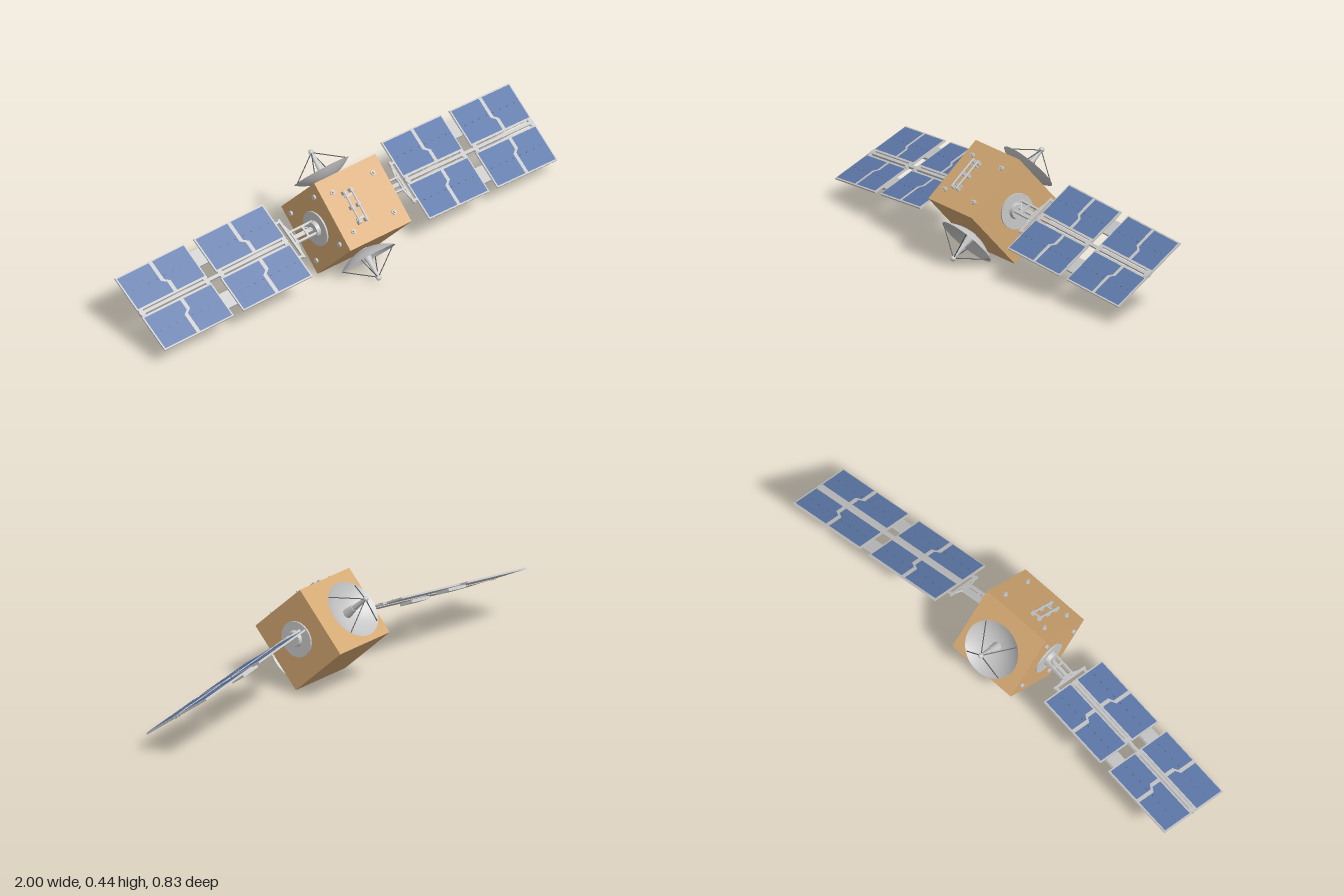
import * as THREE from 'three';

const mat = (name, color, double) => {
  const m = new THREE.MeshStandardMaterial({ color });
  m.name = name;
  if (double) m.side = THREE.DoubleSide;
  return m;
};

export function createModel() {
  const foil = mat('tan foil', 0xd4a873);
  const metal = mat('light grey metal', 0xc8c8c8);
  const dishMetal = mat('grey dish', 0xc4c4c4, true);
  const cells = mat('blue solar cells', 0x5f7aab);
  const dark = mat('dark grey', 0x55585e);

  const add = (parent, name, geo, material, x = 0, y = 0, z = 0) => {
    const mesh = new THREE.Mesh(geo, material);
    mesh.name = name;
    mesh.position.set(x, y, z);
    parent.add(mesh);
    return mesh;
  };
  const box = (parent, name, material, w, h, d, x, y, z) =>
    add(parent, name, new THREE.BoxGeometry(w, h, d), material, x, y, z);
  // thin rod between two points
  const rod = (parent, name, a, b, r, material = metal, r2 = r) => {
    const p = new THREE.Vector3(...a), q = new THREE.Vector3(...b);
    const dir = q.clone().sub(p);
    const mesh = add(parent, name, new THREE.CylinderGeometry(r2, r, dir.length(), 10), material);
    mesh.position.copy(p).add(q).multiplyScalar(0.5);
    mesh.quaternion.setFromUnitVectors(new THREE.Vector3(0, 1, 0), dir.normalize());
    return mesh;
  };

  const model = new THREE.Group();
  model.name = 'satellite';

  // Body, yawed and pitched
  const body = new THREE.Group();
  body.name = 'body';
  body.position.set(0.012, 0.228, 0.05);
  body.rotation.set(THREE.MathUtils.degToRad(42.3), THREE.MathUtils.degToRad(15.5), 0, 'YXZ');
  model.add(body);
  box(body, 'bodyBox', foil, 0.31, 0.3, 0.3, 0, 0, 0);

  // Round array mounts on both sides
  for (const s of [-1, 1]) {
    const ring = add(body, 'arrayMount', new THREE.CylinderGeometry(0.073, 0.073, 0.01, 40), metal, s * 0.157, 0.005, 0);
    ring.rotation.z = Math.PI / 2;
    const hub = add(body, 'arrayHub', new THREE.CylinderGeometry(0.03, 0.035, 0.02, 24), metal, s * 0.168, 0.01, 0);
    hub.rotation.z = -s * Math.PI / 2;
  }

  // Bolts on the upper face and one side face
  for (const a of [-1, 1]) for (const b of [-1, 1]) {
    add(body, 'topBolt', new THREE.CylinderGeometry(0.01, 0.01, 0.006, 14), metal, a * 0.103, 0.152, b * 0.087);
    add(body, 'topBoltPin', new THREE.CylinderGeometry(0.005, 0.005, 0.012, 10), metal, a * 0.103, 0.158, b * 0.087);
    const side = add(body, 'sideBolt', new THREE.CylinderGeometry(0.01, 0.01, 0.01, 14), metal, -0.158, a * 0.105, b * 0.105);
    side.rotation.z = Math.PI / 2;
  }

  // Pair of handrails with feet
  for (const s of [-1, 1]) {
    const x = -0.045 + s * 0.017;
    rod(body, 'handrail', [x, 0.167, -0.07], [x, 0.167, 0.07], 0.005);
    for (const z of [-0.065, 0, 0.065]) box(body, 'handrailFoot', metal, 0.014, 0.02, 0.014, x, 0.158, z);
  }
  for (const z of [-0.05, 0.05]) box(body, 'handrailTie', metal, 0.04, 0.006, 0.008, -0.045, 0.153, z);

  // Dish antennas, facing along local z at the front and back
  const R = 0.12;
  for (const s of [1, -1]) {
    const dish = new THREE.Group();
    dish.name = s > 0 ? 'frontDish' : 'backDish';
    dish.position.set(0, -0.014, s * 0.152);
    dish.rotation.x = s * Math.PI / 2;
    body.add(dish);
    const profile = [];
    for (let i = 0; i <= 10; i++) profile.push(new THREE.Vector2(R * i / 10, 0.042 * (i / 10) ** 2));
    add(dish, 'reflector', new THREE.LatheGeometry(profile, 48), dishMetal);
    rod(dish, 'feedBase', [0, 0, 0], [0, 0.05, 0], 0.02, metal, 0.014);
    rod(dish, 'feedHorn', [0, 0.05, 0], [0, 0.125, 0], 0.012, metal, 0.007);
    add(dish, 'feedTip', new THREE.SphereGeometry(0.011, 16, 12), metal, 0, 0.127, 0);
    for (let i = 0; i < 4; i++) {
      const t = Math.PI / 4 + i * Math.PI / 2;
      rod(dish, 'feedStrut', [R * 0.97 * Math.cos(t), 0.04, R * 0.97 * Math.sin(t)], [0, 0.125, 0], 0.002, dark);
    }
  }

  // Solar wing, built outward along +x from its inner edge
  const buildWing = (name, jog) => {
    const wing = new THREE.Group();
    wing.name = name;
    const len = 0.33, half = 0.18, inner = 0.013;
    for (const x0 of [0, 0.375]) {
      const mid = x0 + len / 2;
      for (const s of [-1, 1]) {
        box(wing, 'panelBacking', metal, len, 0.007, half - inner, mid, 0, s * (half + inner) / 2);
        // two cell sheets meeting along a stepped seam
        for (const e of [-1, 1]) {
          const edge = mid + e * (len / 2 - 0.006), seam = mid + e * 0.008;
          const pts = [[edge, 0.022], [seam + jog, 0.022], [seam + jog, 0.07],
            [seam, 0.085], [seam, 0.174], [edge, 0.174]];
          const shape = new THREE.Shape(pts.map(([x, z]) => new THREE.Vector2(x, -s * z)));
          const geo = new THREE.ShapeGeometry(shape);
          geo.rotateX(-Math.PI / 2);
          add(wing, 'solarCells', geo, cells, 0, 0.0046, 0);
        }
        // dashed rows of fasteners above and below
        for (let i = 0; i < 8; i++) {
          const x = x0 + 0.03 + i * 0.038;
          box(wing, 'fastener', dark, 0.008, 0.001, 0.002, x, 0.005, s * 0.1);
          if (i % 2) box(wing, 'fastener', dark, 0.01, 0.001, 0.003, x, -0.004, s * 0.1);
        }
      }
      // hinge lugs at the section ends
      for (const x of [x0 + 0.012, x0 + len - 0.012]) box(wing, 'hingeLug', metal, 0.018, 0.012, 0.034, x, 0, 0);
    }
    // central spine and the joint boxes below the section gap
    box(wing, 'spine', metal, 0.705, 0.012, 0.013, 0.3525, 0, 0);
    for (const s of [-1, 1]) box(wing, 'jointBox', metal, 0.1, 0.012, 0.07, 0.3525, -0.01, s * 0.105);

    // ladder arm and yoke towards the body
    for (const s of [-1, 1]) {
      box(wing, 'armRail', metal, 0.125, 0.012, 0.008, -0.085, 0, s * 0.026);
      rod(wing, 'yokeStrut', [-0.03, 0, s * 0.026], [-0.015, 0, s * 0.09], 0.005);
      box(wing, 'yokeTab', metal, 0.03, 0.008, 0.01, -0.005, 0, s * 0.085);
    }
    for (const x of [-0.14, -0.085, -0.03]) box(wing, 'armRung', metal, 0.008, 0.01, 0.052, x, 0, 0);
    rod(wing, 'armBrace', [-0.14, 0, -0.026], [-0.085, 0, 0.026], 0.003);
    box(wing, 'armBeam', metal, 0.13, 0.008, 0.016, -0.085, -0.004, 0);
    box(wing, 'yokeBar', metal, 0.01, 0.01, 0.19, -0.018, 0, 0);
    return wing;
  };

  // Place a wing by its inner midpoint, outward direction and edge direction
  const placeWing = (wing, origin, out, across) => {
    const x = new THREE.Vector3(...out).normalize();
    const y = new THREE.Vector3(...across).cross(x).normalize();
    const z = new THREE.Vector3().crossVectors(x, y);
    wing.quaternion.setFromRotationMatrix(new THREE.Matrix4().makeBasis(x, y, z));
    wing.position.set(...origin);
    model.add(wing);
  };
  placeWing(buildWing('leftWing', 0.02), [0.301, 0.244, -0.036], [0.933, -0.097, -0.347], [0.227, -0.586, 0.779]);
  placeWing(buildWing('rightWing', -0.02), [-0.273, 0.23, 0.123], [-0.978, -0.099, 0.18], [-0.215, 0.447, -0.868]);

  return model;
}
